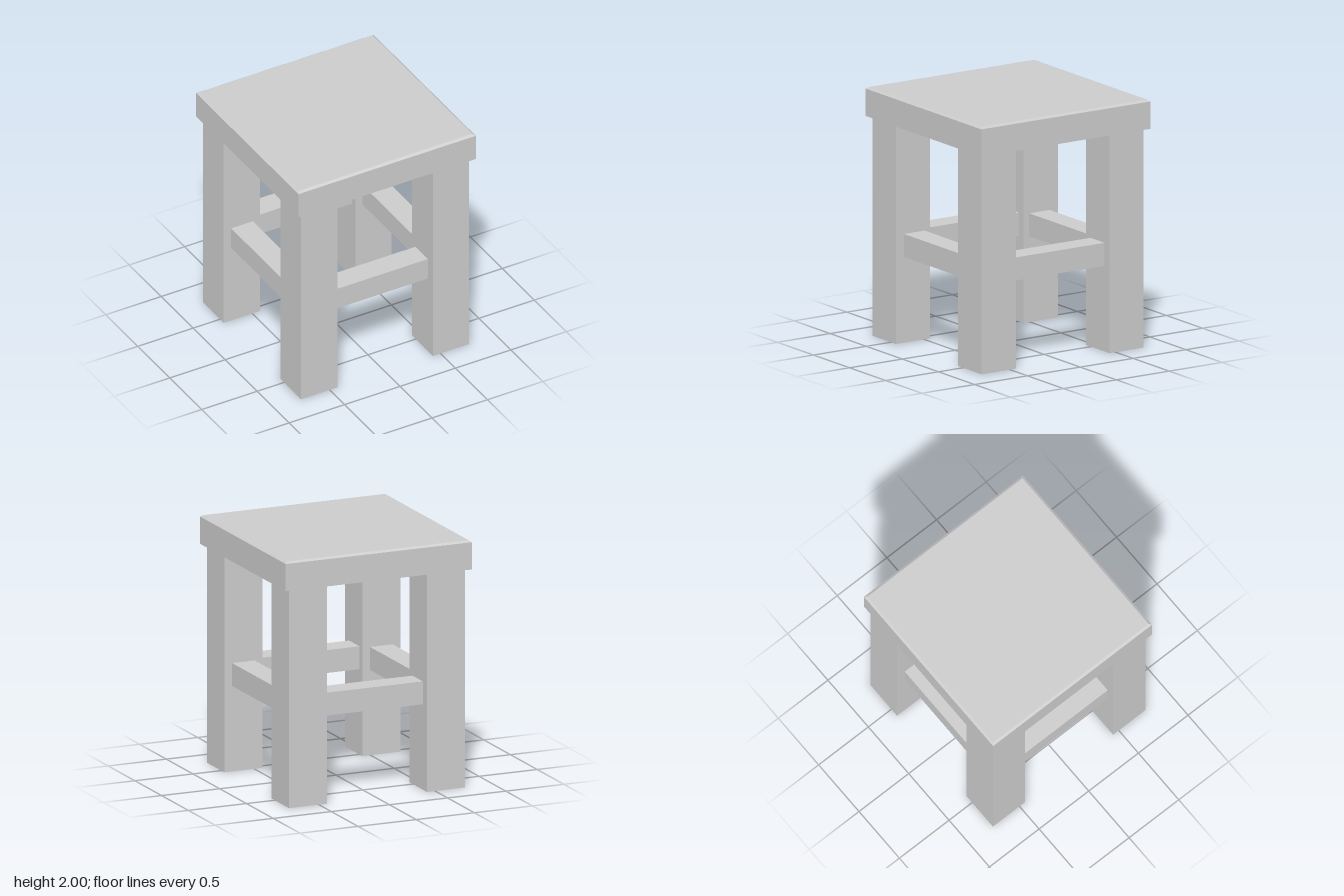
import * as THREE from 'three';

const material = new THREE.MeshStandardMaterial({ color: 0xcccccc, flatShading: true });

// Box spanning the given min and max corners
function block(name, [x0, y0, z0], [x1, y1, z1]) {
  const mesh = new THREE.Mesh(new THREE.BoxGeometry(x1 - x0, y1 - y0, z1 - z0), material);
  mesh.position.set((x0 + x1) / 2, (y0 + y1) / 2, (z0 + z1) / 2);
  mesh.name = name;
  return mesh;
}

// Square slab whose upper edge is chamfered
function createSeat(half, bottom, shoulder, top, inset) {
  const box = new THREE.BoxGeometry(2 * half, 2, 2 * half, 1, 2, 1);
  const pos = box.attributes.position;
  for (let i = 0; i < pos.count; i++) {
    const level = Math.round(pos.getY(i)); // -1 bottom, 0 shoulder, 1 top
    const r = level === 1 ? half - inset : half;
    const y = [bottom, shoulder, top][level + 1];
    pos.setXYZ(i, Math.sign(pos.getX(i)) * r, y, Math.sign(pos.getZ(i)) * r);
  }
  const geometry = box.toNonIndexed();
  geometry.computeVertexNormals();
  const mesh = new THREE.Mesh(geometry, material);
  mesh.name = 'seat';
  return mesh;
}

export function createModel() {
  const stool = new THREE.Group();
  stool.name = 'stool';

  const seatBottom = 1.765;
  const legX = [0.43, 0.757], legZ = [0.443, 0.767]; // inner and outer leg faces
  const railY = [0.69, 0.875], railDepth = [0.495, 0.69];

  stool.add(createSeat(0.8, seatBottom, 1.985, 2, 0.02));

  // Four square legs
  for (const [sx, xName] of [[1, 'Left'], [-1, 'Right']]) {
    for (const [sz, zName] of [[1, 'front'], [-1, 'back']]) {
      const leg = block(zName + xName + 'Leg',
        [legX[0], 0, legZ[0]], [legX[1], seatBottom, legZ[1]]);
      leg.position.x *= sx;
      leg.position.z *= sz;
      stool.add(leg);
    }
  }

  // Stretcher rails between neighbouring legs
  for (const s of [1, -1]) {
    const across = block(s > 0 ? 'frontRail' : 'backRail',
      [-legX[0], railY[0], railDepth[0]], [legX[0], railY[1], railDepth[1]]);
    across.position.z *= s;
    const along = block(s > 0 ? 'leftRail' : 'rightRail',
      [railDepth[0], railY[0], -legZ[0]], [railDepth[1], railY[1], legZ[0]]);
    along.position.x *= s;
    stool.add(across, along);
  }

  return stool;
}
